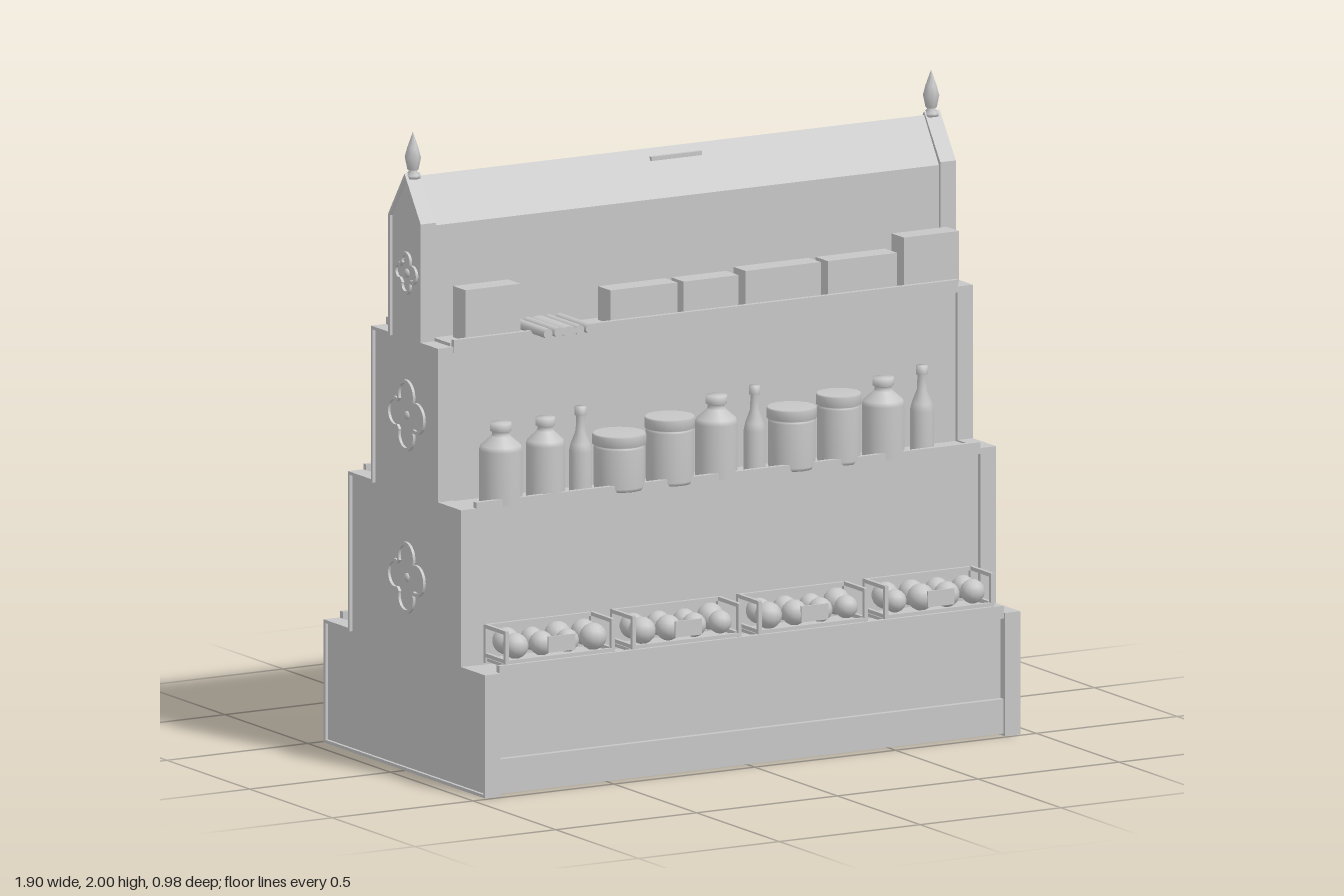
import * as THREE from 'three';

const grey = new THREE.MeshStandardMaterial({ color: 0xc6c6c6 });
grey.name = 'plain grey';

function add(parent, name, geometry, x = 0, y = 0, z = 0) {
  const mesh = new THREE.Mesh(geometry, grey);
  mesh.name = name;
  mesh.position.set(x, y, z);
  parent.add(mesh);
  return mesh;
}

// Box given by its limits on each axis
function block(parent, name, x0, x1, y0, y1, z0, z1) {
  return add(parent, name, new THREE.BoxGeometry(x1 - x0, y1 - y0, z1 - z0),
    (x0 + x1) / 2, (y0 + y1) / 2, (z0 + z1) / 2);
}

// Symmetric stepped outline from [half width, height] pairs
function stepped(points) {
  const right = points.map(([w, y]) => new THREE.Vector2(w, y));
  const left = points.filter(([w]) => w > 0).reverse().map(([w, y]) => new THREE.Vector2(-w, y));
  return right.concat(left);
}

// Extrude a z-y outline along x, centred on x = 0
function extrudeX(shape, depth) {
  const g = new THREE.ExtrudeGeometry(shape, { depth, bevelEnabled: false, curveSegments: 10 });
  return g.translate(0, 0, -depth / 2).rotateY(-Math.PI / 2);
}

function turned(points, segments = 20) {
  return new THREE.LatheGeometry(points.map(([r, y]) => new THREE.Vector2(r, y)), segments);
}

// Four-lobed outline of overall radius s
function quatrefoil(Type, s, inset = 0) {
  const path = new Type();
  const c = s * 0.56, r = s * 0.44 - inset;
  for (let i = 0; i < 4; i++) {
    const a = i * Math.PI / 2;
    path.absarc(c * Math.cos(a), c * Math.sin(a), r, a - 1.95, a + 1.95, false);
  }
  path.closePath();
  return path;
}

// Vessels, each standing on its own y = 0
function jar(r, h) {
  return turned([[0, 0], [r * 0.9, 0], [r * 0.95, 0.01], [r * 0.95, h - 0.045], [r * 0.88, h - 0.04],
    [r * 0.88, h - 0.035], [r, h - 0.035], [r, h - 0.005], [r * 0.96, h], [0, h]], 24);
}
function flask(r, h) {
  return turned([[0, 0], [r, 0], [r, 0], [r, h * 0.66], [r * 0.93, h * 0.72], [r * 0.45, h * 0.83],
    [r * 0.4, h * 0.86], [r * 0.4, h * 0.9], [r * 0.5, h * 0.9], [r * 0.5, h], [0, h]], 20);
}
function bottle(r, h) {
  return turned([[0, 0], [r, 0], [r, 0], [r, h * 0.48], [r * 0.85, h * 0.57], [r * 0.42, h * 0.72],
    [r * 0.36, h * 0.9], [r * 0.5, h * 0.9], [r * 0.5, h], [0, h]], 14);
}

// Open crate of round fruit, facing +z
function fruitCrate(cx, side) {
  const g = new THREE.Group();
  g.name = 'fruitCrate';
  const w = 0.188, t = 0.006, z0 = 0.345, z1 = 0.468;
  for (const s of [-1, 1]) {
    for (const z of [z0, z1]) block(g, 'cratePost', s * w - t, s * w + t, 0.395, 0.515, z - t, z + t);
    for (const y of [0.42, 0.51]) block(g, 'crateEndRail', s * w - t, s * w + t, y - t, y + t, z0, z1);
  }
  block(g, 'crateBackRail', -w, w, 0.503, 0.515, z0 - t, z0 + t);
  block(g, 'crateFrontRail', -w, w, 0.413, 0.424, z1 - t, z1 + t);
  block(g, 'crateFloor', -w, w, 0.4, 0.41, z0, z1);
  block(g, 'priceCard', -0.045, 0.05, 0.435, 0.485, 0.474, 0.48);
  const ball = new THREE.SphereGeometry(1, 12, 9);
  for (let row = 0; row < 2; row++) {
    for (let i = 0; i < 4; i++) {
      const k = (i * 7 + row * 5 + Math.round(cx * 10)) % 4;
      const r = 0.036 + 0.002 * Math.abs(k);
      const fruit = add(g, 'fruit', ball, -0.137 + i * 0.092, 0.448 + r * 0.4 + row * -0.005, 0.378 + row * 0.058);
      fruit.scale.setScalar(r);
    }
  }
  g.position.x = cx;
  if (side < 0) { g.scale.z = 1; g.rotation.y = Math.PI; }
  return g;
}

export function createModel() {
  const root = new THREE.Group();
  root.name = 'displayStand';

  // Stepped carcass
  const body = stepped([[0.462, 0.01], [0.462, 0.385], [0.325, 0.385], [0.325, 0.875], [0.19, 0.875],
    [0.19, 1.37], [0.09, 1.37], [0.09, 1.72], [0, 1.86]]);
  add(root, 'body', extrudeX(new THREE.Shape(body), 1.8));

  // Side panels with raised edging, tracery and finials
  const outline = stepped([[0.488, 0.005], [0.488, 0.39], [0.342, 0.39], [0.342, 0.88], [0.202, 0.88],
    [0.202, 1.36], [0.098, 1.36], [0.098, 1.73], [0, 1.872]]);
  const inner = stepped([[0.478, 0.015], [0.478, 0.38], [0.332, 0.38], [0.332, 0.87], [0.192, 0.87],
    [0.192, 1.35], [0.088, 1.35], [0.088, 1.726], [0, 1.854]]);
  const panelGeo = extrudeX(new THREE.Shape(outline), 0.045);
  const rim = new THREE.Shape(outline);
  rim.holes.push(new THREE.Path(inner));
  const rimGeo = extrudeX(rim, 0.01);
  const finialGeo = turned([[0, 0], [0.024, 0], [0.024, 0.01], [0.012, 0.022], [0.018, 0.028],
    [0.026, 0.065], [0.018, 0.095], [0, 0.145]], 8);
  for (const s of [-1, 1]) {
    add(root, 'sidePanel', panelGeo, s * 0.9175);
    add(root, 'panelEdging', rimGeo, s * 0.945);
    add(root, 'finial', finialGeo, s * 0.92, 1.855);
    for (const [y, r] of [[0.608, 0.112], [1.115, 0.112], [1.56, 0.067]]) {
      const ring = quatrefoil(THREE.Shape, r);
      ring.holes.push(quatrefoil(THREE.Path, r, 0.011));
      add(root, 'quatrefoilRing', extrudeX(ring, 0.01), s * 0.944, y);
      const stud = add(root, 'quatrefoilStud', new THREE.SphereGeometry(0.014, 12, 8), s * 0.94, y);
      stud.scale.x = 0.6;
    }
  }

  // Plinths, shelf lips and ridge grips on both faces
  for (const s of [-1, 1]) {
    const strip = (name, x, y0, y1, z, d) =>
      add(root, name, new THREE.BoxGeometry(2 * x, y1 - y0, d), 0, (y0 + y1) / 2, s * z);
    strip('plinth', 0.895, 0.012, 0.12, 0.468, 0.026);
    strip('lowerLip', 0.895, 0.372, 0.412, 0.473, 0.018);
    strip('middleLip', 0.895, 0.862, 0.898, 0.333, 0.016);
    strip('upperLip', 0.895, 1.342, 1.382, 0.198, 0.016);
    strip('ridgeGrip', 0.09, 1.825, 1.838, 0.022, 0.012);
    for (const x of [-0.675, -0.225, 0.223, 0.672]) root.add(fruitCrate(x, s));
  }

  // Vessels on the middle shelves: [kind, x, radius, height]
  const frontVessels = [
    [flask, -0.773, 0.067, 0.25], [flask, -0.615, 0.06, 0.25], [bottle, -0.49, 0.036, 0.27],
    [jar, -0.352, 0.083, 0.175], [jar, -0.173, 0.078, 0.208], [flask, -0.008, 0.066, 0.255],
    [bottle, 0.128, 0.034, 0.27], [jar, 0.26, 0.077, 0.192], [jar, 0.427, 0.07, 0.217],
    [flask, 0.585, 0.066, 0.248], [bottle, 0.722, 0.037, 0.27]];
  const backVessels = [
    [jar, -0.77, 0.07, 0.2], [bottle, -0.64, 0.036, 0.27], [jar, -0.51, 0.074, 0.19],
    [jar, -0.35, 0.067, 0.21], [jar, -0.185, 0.08, 0.215], [bottle, -0.05, 0.036, 0.27],
    [flask, 0.078, 0.06, 0.25], [jar, 0.23, 0.07, 0.2], [jar, 0.398, 0.08, 0.19],
    [bottle, 0.538, 0.036, 0.27], [bottle, 0.627, 0.036, 0.27], [jar, 0.763, 0.078, 0.22]];
  for (const [list, z] of [[frontVessels, 0.281], [backVessels, -0.288]]) {
    for (const [kind, x, r, h] of list) add(root, kind.name, kind(r, h), x, 0.876, z);
  }

  // Cartons on the top shelves: [x0, x1, top]
  const frontCartons = [[-0.845, -0.65, 1.53], [-0.33, -0.092, 1.475], [-0.07, 0.125, 1.475],
    [0.15, 0.417, 1.485], [0.442, 0.688, 1.485], [0.712, 0.908, 1.53]];
  const backCartons = [[-0.775, -0.55, 1.5], [-0.23, 0.01, 1.475], [0.035, 0.29, 1.475], [0.615, 0.84, 1.535]];
  for (const [x0, x1, y] of frontCartons) block(root, 'carton', x0, x1, 1.37, y, 0.115, 0.19);
  for (const [x0, x1, y] of backCartons) block(root, 'carton', x0, x1, 1.37, y, -0.19, -0.115);

  // Bundles of rods lying across the top shelves
  const rodGeo = new THREE.CylinderGeometry(0.016, 0.016, 0.19, 10).rotateX(Math.PI / 2);
  for (const [cx, z] of [[-0.53, 0.187], [-0.33, -0.187], [0.395, -0.187], [0.525, -0.187]]) {
    const half = z > 0 ? 0.075 : 0.055;
    for (let i = 0; i < 5; i++) {
      const rod = add(root, 'rod', rodGeo, cx + half * (i / 2 - 1), 1.385, z);
      if (i === 2) rod.scale.x = 1.8;
    }
  }
  return root;
}
